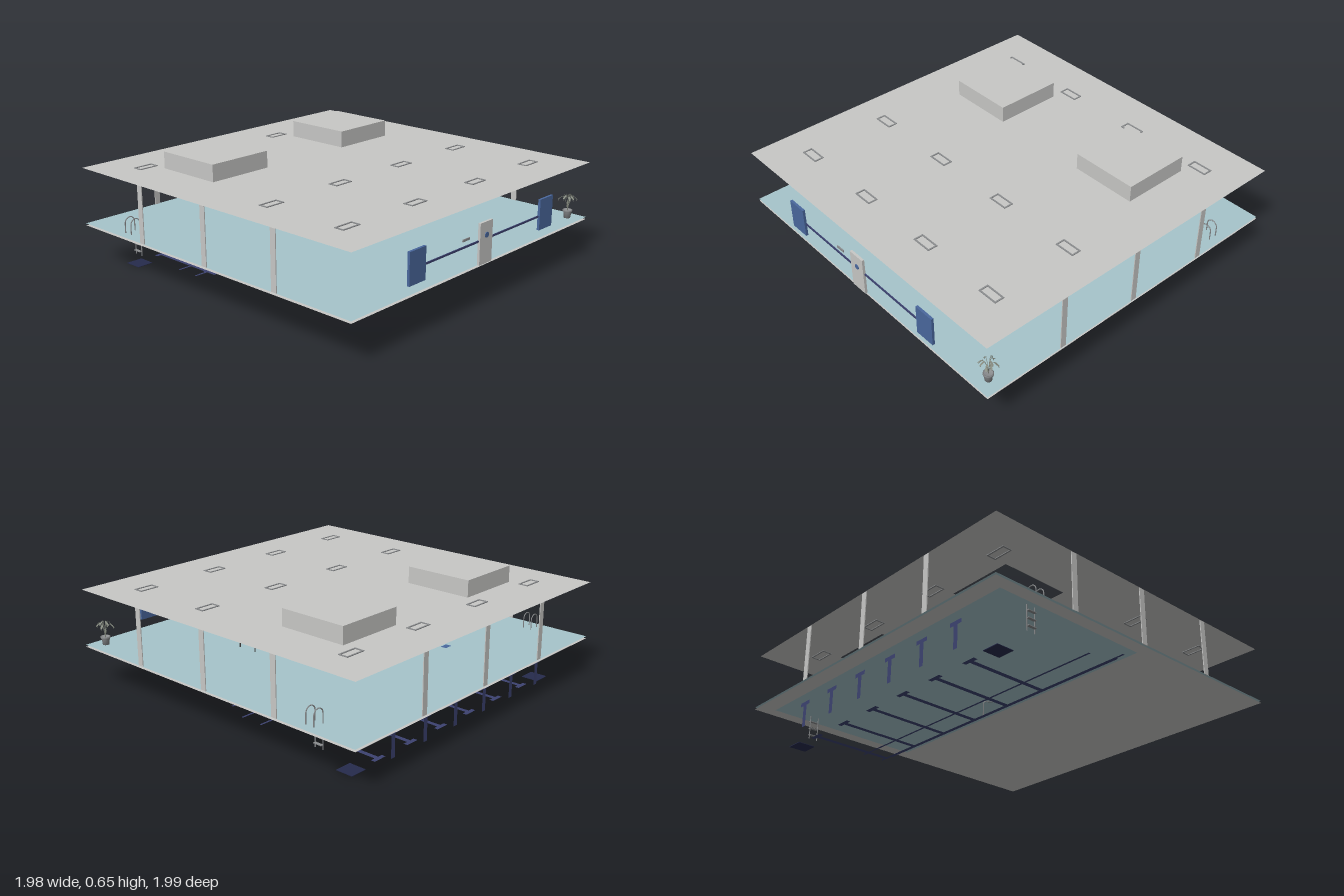
import * as THREE from 'three';

const mat = (name, color, double = true) => {
  const m = new THREE.MeshStandardMaterial({ color, side: double ? THREE.DoubleSide : THREE.FrontSide });
  m.name = name;
  return m;
};

export function createModel() {
  const root = new THREE.Group();
  root.name = 'swimmingHall';
  const grey = mat('concrete grey', 0xc8c8c6);
  const teal = mat('pool teal', 0xa6c5cb);
  const blue = mat('panel blue', 0x4a689e);
  const navy = mat('lane navy', 0x3c4270);
  const dark = mat('drain navy', 0x262b4d);
  const steel = mat('steel grey', 0x8c8e90);
  const char = mat('lounger charcoal', 0x4c4c4c);
  const leafMat = mat('leaf grey green', 0x8a8f84);

  const add = (name, geo, m, parent = root) => {
    const mesh = new THREE.Mesh(geo, m);
    mesh.name = name;
    parent.add(mesh);
    return mesh;
  };
  const box = (name, w, h, d, x, y, z, m, parent = root) => {
    const mesh = add(name, new THREE.BoxGeometry(w, h, d), m, parent);
    mesh.position.set(x, y, z);
    return mesh;
  };
  // horizontal sheet
  const sheet = (name, w, d, x, y, z, m, parent = root) => {
    const mesh = add(name, new THREE.PlaneGeometry(w, d).rotateX(-Math.PI / 2), m, parent);
    mesh.position.set(x, y, z);
    return mesh;
  };
  // polyline bar with straight runs
  const tube = (name, pts, r, m, parent = root) => {
    const path = new THREE.CurvePath();
    const v = pts.map(p => new THREE.Vector3(...p));
    for (let i = 1; i < v.length; i++) path.add(new THREE.LineCurve3(v[i - 1], v[i]));
    return add(name, new THREE.TubeGeometry(path, pts.length * 8, r, 6), m, parent);
  };
  // horizontal slab sheet with rectangular openings, [x0, x1, z0, z1]
  const holed = (name, y, holes, m) => {
    const rect = (T, a, b, c, d) => {
      const s = new T();
      s.moveTo(a, -c); s.lineTo(b, -c); s.lineTo(b, -d); s.lineTo(a, -d); s.closePath();
      return s;
    };
    const shape = rect(THREE.Shape, -0.99, 0.99, 0.98, -1);
    holes.forEach(h => shape.holes.push(rect(THREE.Path, ...h)));
    const mesh = add(name, new THREE.ShapeGeometry(shape).rotateX(-Math.PI / 2), m);
    mesh.position.y = y;
  };

  // Roof with two openings, capped by open-bottomed boxes
  holed('roof', 0.56, [[-0.69, -0.3, -0.66, -0.26], [0.3, 0.69, -0.66, -0.26]], grey);
  const shell = mat('roof box grey', 0xc8c8c6, false);
  for (const x of [-0.495, 0.495]) {
    const geo = new THREE.BoxGeometry(0.39, 0.095, 0.4);
    const keep = [];
    for (let i = 0; i < 36; i++) if (i < 18 || i >= 24) keep.push(geo.index.getX(i));
    geo.clearGroups();
    geo.setIndex(keep);
    add('roofBox', geo, shell).position.set(x, 0.6075, -0.46);
  }

  // Small roof light frames
  for (const x of [-0.745, -0.25, 0.245, 0.74]) for (const z of [-0.755, 0.235, 0.735]) {
    const g = new THREE.Group();
    g.name = 'roofLight';
    g.position.set(x, 0.56, z);
    for (const s of [-1, 1]) {
      box('frameSide', 0.008, 0.008, 0.055, s * 0.055, 0, 0, steel, g);
      box('frameEnd', 0.118, 0.008, 0.008, 0, 0, s * 0.025, steel, g);
    }
    root.add(g);
  }

  // Deck, and its underside with the pool opening
  sheet('deck', 1.98, 1.98, 0, 0.241, -0.01, teal);
  holed('deckUnderside', 0.229, [[-0.92, 0.92, -0.91, 0.02]], grey);

  // Columns along the back and both sides
  for (const p of [-0.495, 0, 0.495]) {
    box('backColumn', 0.034, 0.318, 0.005, p, 0.4, -0.997, grey);
    for (const s of [-1, 1]) box('sideColumn', 0.005, 0.318, 0.034, s * 0.987, 0.4, p, grey);
  }

  // Front door, panels and rail
  box('door', 0.104, 0.22, 0.014, -0.002, 0.35, 0.983, grey);
  add('doorWindow', new THREE.CylinderGeometry(0.015, 0.015, 0.005, 20).rotateX(Math.PI / 2), blue)
    .position.set(0, 0.39, 0.991);
  for (const s of [-1, 1]) {
    box('frontPanel', 0.12, 0.17, 0.014, s * 0.543, 0.375, 0.983, blue);
    box('frontRail', 0.435, 0.01, 0.006, s * 0.267, 0.365, 0.979, navy);
  }
  box('doorSign', 0.055, 0.012, 0.006, -0.158, 0.402, 0.98, steel);
  sheet('floatBoard', 0.05, 0.035, -0.3, 0.253, -0.53, blue);

  // Lane markings: T on the end wall, lane with crossbar on the pool floor
  for (let i = 0; i < 6; i++) {
    const x = -0.62 + i * 0.247;
    const lane = new THREE.Group();
    lane.name = 'laneMarking';
    lane.position.x = x;
    add('wallCross', new THREE.PlaneGeometry(0.08, 0.022), navy, lane).position.set(0, 0.17, -0.91);
    add('wallStem', new THREE.PlaneGeometry(0.028, 0.124), navy, lane).position.set(0, 0.097, -0.91);
    sheet('floorCross', 0.08, 0.024, 0, 0.004, -0.82, navy, lane);
    sheet('floorLine', 0.026, 0.46, 0, 0.004, -0.578, navy, lane);
    root.add(lane);
  }
  // Step edges across the shallow end
  for (const [y, z] of [[0.2, -0.06], [0.16, -0.11], [0.12, -0.18], [0.12, -0.31]])
    sheet('stepEdge', 1.8, 0.012, 0, y, z, navy);
  // Floor drains
  for (const s of [-1, 1]) box('drain', 0.096, 0.003, 0.1, s * 0.79, 0.002, -0.8, dark);

  // Handrail down the steps
  tube('handrail', [[0, 0.24, 0.05], [0, 0.315, 0.05], [0, 0.33, 0.04], [0, 0.332, 0.0],
    [0, 0.31, -0.02], [0, 0.22, -0.12], [0, 0.21, -0.165], [0, 0.195, -0.18], [0, 0.12, -0.18]], 0.003, steel);

  // Pool ladders
  for (const s of [-1, 1]) {
    const g = new THREE.Group();
    g.name = 'ladder';
    for (const z of [-0.655, -0.705]) {
      const pts = [[s * 0.94, 0.24, z]];
      for (let i = 0; i <= 8; i++) {
        const a = Math.PI * i / 8;
        pts.push([s * (0.909 + 0.031 * Math.cos(a)), 0.295 + 0.031 * Math.sin(a), z]);
      }
      pts.push([s * 0.878, 0.105, z]);
      tube('ladderPost', pts, 0.003, steel, g);
    }
    for (const y of [0.13, 0.17, 0.21]) box('rung', 0.016, 0.004, 0.05, s * 0.884, y, -0.68, steel, g);
    root.add(g);
  }

  // Loungers with slatted backs
  for (const x of [0.295, 0.415]) {
    const g = new THREE.Group();
    g.name = 'lounger';
    g.position.x = x;
    box('seat', 0.056, 0.005, 0.125, 0, 0.267, 0.262, char, g);
    for (let i = 0; i < 5; i++) {
      const t = (i + 0.5) / 5;
      box('backSlat', 0.056, 0.004, 0.011, 0, 0.267 + t * 0.042, 0.322 + t * 0.05, char, g).rotation.x = -0.7;
    }
    for (const s of [-1, 1]) {
      tube('backRail', [[s * 0.027, 0.267, 0.32], [s * 0.027, 0.31, 0.372]], 0.003, char, g);
      for (const z of [0.205, 0.322]) box('leg', 0.005, 0.027, 0.005, s * 0.026, 0.2535, z, char, g);
    }
    root.add(g);
  }

  // Potted plant with arching leaves
  const plant = new THREE.Group();
  plant.name = 'pottedPlant';
  plant.position.set(0.91, 0.24, 0.905);
  const pot = [[0, 0], [0.018, 0], [0.023, 0.038], [0.027, 0.038], [0.027, 0.048], [0.022, 0.048], [0.02, 0.042], [0, 0.042]];
  add('pot', new THREE.LatheGeometry(pot.map(p => new THREE.Vector2(...p)), 16), steel, plant);
  for (let i = 0; i < 9; i++) {
    const a = i * 2.4, reach = 0.03 + 0.025 * ((i * 5) % 9) / 8, top = 0.145 - reach * 0.6;
    const at = (r, y) => new THREE.Vector3(r * Math.cos(a), y, r * Math.sin(a));
    const curve = new THREE.QuadraticBezierCurve3(at(0, 0.04), at(reach * 0.35, top + 0.06), at(reach, top - 0.015));
    add('stem', new THREE.TubeGeometry(curve, 8, 0.0014, 4), leafMat, plant);
    const leaf = new THREE.CircleGeometry(1, 8).scale(0.018, 0.006, 1).rotateX(-Math.PI / 2);
    const mesh = add('leaf', leaf.rotateZ(-0.7).rotateY(-a), leafMat, plant);
    mesh.position.copy(curve.getPoint(0.85));
  }
  root.add(plant);

  return root;
}
